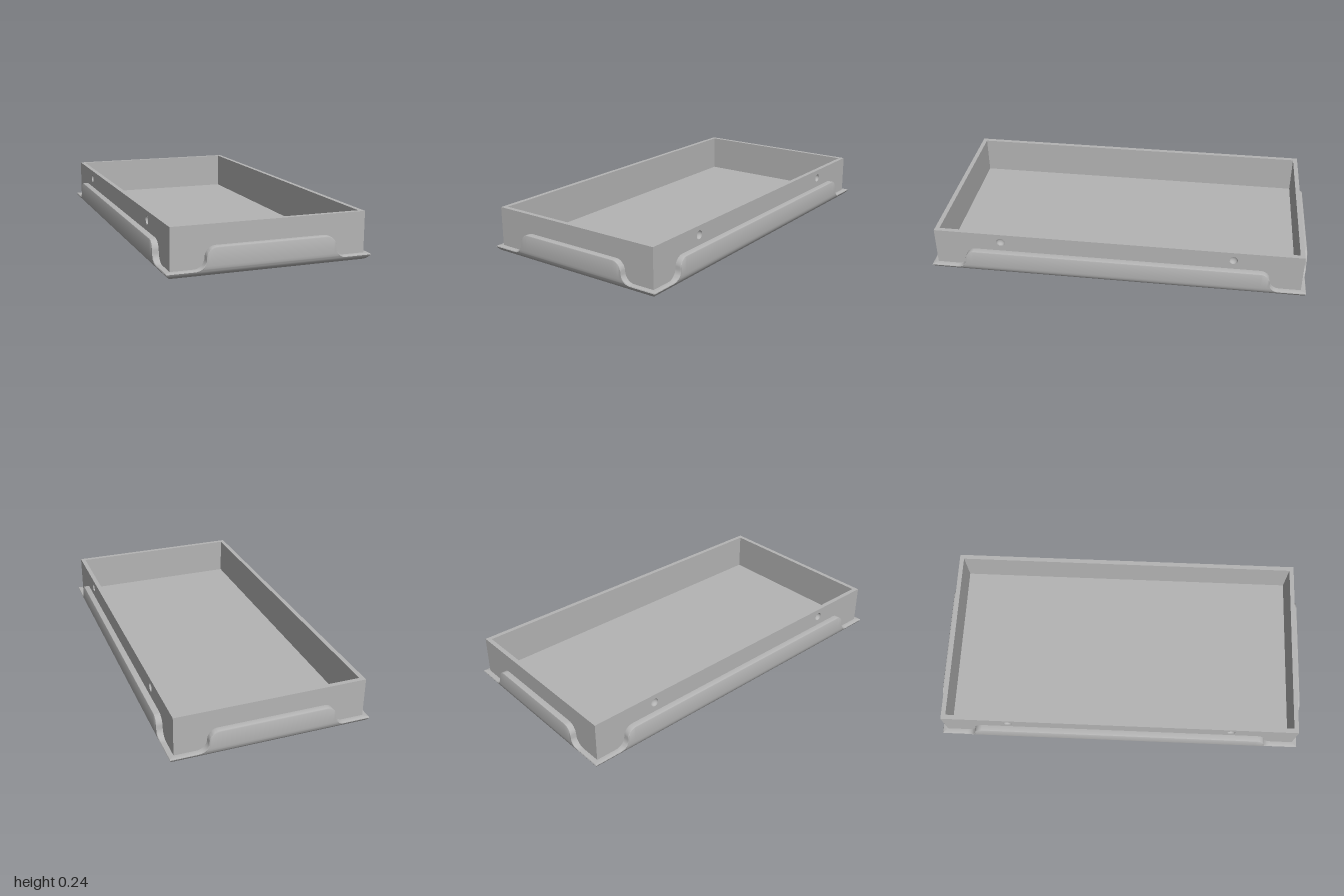
import * as THREE from 'three';
import { toCreasedNormals } from 'three/addons/utils/BufferGeometryUtils.js';

const HX = 0.525, HZ = 1;            // half sizes of the outer skirt
const GAP = 0.032;                   // skirt thickness
const BX = HX - GAP, BZ = HZ - GAP;  // half sizes of the inner box
const TOP = 0.243, WALL = 0.024, FLOOR = 0.04, WALL_BASE = 0.012;
const R = 0.055;                     // rounded bottom edge
const LOW = 0.037, HIGH = 0.143;     // skirt height at corners and along the middle
const EDGE = 0.006;                  // softened rim of the skirt

// How far the rounded bottom edge sits inside the outer face at height y
const inset = (y) => (y >= R ? 0 : R - Math.sqrt(R * R - (R - y) ** 2));

// Cross-section of the skirt for a given rim height: [inset, y] from bottom to top
function section(h) {
  const pts = [];
  for (let i = 0; i <= 8; i++) {
    const y = (LOW - EDGE) * (i / 8) ** 2;
    pts.push([inset(y), y]);
  }
  for (const f of [0.1, 0.25, 0.5, 1]) {
    const y = LOW - EDGE + (Math.min(R, h - EDGE) - LOW + EDGE) * f;
    pts.push([inset(y), y]);
  }
  const y = h - EDGE, d = inset(y);
  pts.push([d, y], [d + EDGE * 0.3, h - EDGE * 0.3], [d + EDGE, h], [GAP, h]);
  return pts;
}

// Rim line along one side: low at the corners, S-curve up to the middle
function rim(L) {
  const half = [], r = (HIGH - LOW) / 2, c = L - 0.197;
  for (let i = 0; i <= 10; i++) {
    const a = (i / 10) * Math.PI / 2;
    half.push([c + r - r * Math.sin(a), LOW + r - r * Math.cos(a)]);
  }
  for (let i = 1; i <= 10; i++) {
    const a = (i / 10) * Math.PI / 2;
    half.push([c - r + r * Math.cos(a), LOW + r + r * Math.sin(a)]);
  }
  half.unshift([L, LOW]);
  return [...half.map(([u, h]) => [-u, h]), ...half.reverse()];
}

// One side of the skirt, mitred at both ends, facing +z
function skirtSide(L, D) {
  const line = rim(L), pos = [], idx = [];
  let n = 0;
  line.forEach(([u, h], i) => {
    const end = i === 0 || i === line.length - 1;
    const pts = section(h);
    n = pts.length;
    for (const [d, y] of pts) pos.push(end ? Math.sign(u) * (L - d) : u, y, D - d);
  });
  for (let i = 0; i < line.length - 1; i++) {
    for (let j = 0; j < n - 1; j++) {
      const a = i * n + j, b = a + n;
      idx.push(a, b, b + 1, a, b + 1, a + 1);
    }
  }
  const geo = new THREE.BufferGeometry();
  geo.setAttribute('position', new THREE.Float32BufferAttribute(pos, 3));
  geo.setIndex(idx);
  return toCreasedNormals(geo, 0.6);
}

export function createModel() {
  const group = new THREE.Group();
  const grey = new THREE.MeshStandardMaterial({ color: 0xb4b4b4, side: THREE.DoubleSide });
  grey.name = 'grey';

  const add = (name, geo, x = 0, y = 0, z = 0, parent = group) => {
    const mesh = new THREE.Mesh(geo, grey);
    mesh.name = name;
    mesh.position.set(x, y, z);
    parent.add(mesh);
    return mesh;
  };

  // Floor slab, flush with the underside
  add('floor', new THREE.BoxGeometry(2 * (HX - R), FLOOR, 2 * (HZ - R)), 0, FLOOR / 2, 0);

  // End walls between the long walls
  const wallH = TOP - WALL_BASE, wallY = (TOP + WALL_BASE) / 2;
  for (const s of [1, -1]) {
    add(s > 0 ? 'frontWall' : 'backWall',
      new THREE.BoxGeometry(2 * (BX - WALL), wallH, WALL), 0, wallY, s * (BZ - WALL / 2));
  }

  // Long walls: a pierced outer layer over a plain inner one, with round dimples
  const DEPTH = 0.018, HOLE_R = 0.022, HOLE_Y = 0.196, HOLE_Z = 0.61;
  const face = new THREE.Shape([
    new THREE.Vector2(-BZ, WALL_BASE), new THREE.Vector2(BZ, WALL_BASE),
    new THREE.Vector2(BZ, TOP), new THREE.Vector2(-BZ, TOP),
  ]);
  for (const s of [1, -1]) {
    face.holes.push(new THREE.Path().absarc(s * HOLE_Z, HOLE_Y, HOLE_R, 0, Math.PI * 2, true));
  }
  const outer = new THREE.ExtrudeGeometry(face, { depth: DEPTH, bevelEnabled: false, curveSegments: 24 });
  const cup = [];
  for (let i = 0; i <= 8; i++) {
    const a = (i / 8) * Math.PI / 2;
    cup.push(new THREE.Vector2(HOLE_R * Math.sin(a), -DEPTH * 0.95 * Math.cos(a)));
  }
  const dimple = new THREE.LatheGeometry(cup, 24).rotateX(Math.PI / 2);
  for (const s of [1, -1]) {
    const wall = new THREE.Group();
    wall.name = s > 0 ? 'leftWall' : 'rightWall';
    wall.rotation.y = s * Math.PI / 2;
    add('outerLayer', outer, 0, 0, BX - DEPTH, wall);
    add('innerLayer', new THREE.BoxGeometry(2 * BZ, wallH, WALL - DEPTH),
      0, wallY, BX - (WALL + DEPTH) / 2, wall);
    for (const k of [1, -1]) add('dimple', dimple, k * HOLE_Z, HOLE_Y, BX, wall);
    group.add(wall);
  }

  // Outer skirt with low corners on all four sides
  ['frontSkirt', 'leftSkirt', 'backSkirt', 'rightSkirt'].forEach((name, i) => {
    const side = i % 2 ? skirtSide(HZ, HX) : skirtSide(HX, HZ);
    add(name, side).rotation.y = i * Math.PI / 2;
  });

  return group;
}
